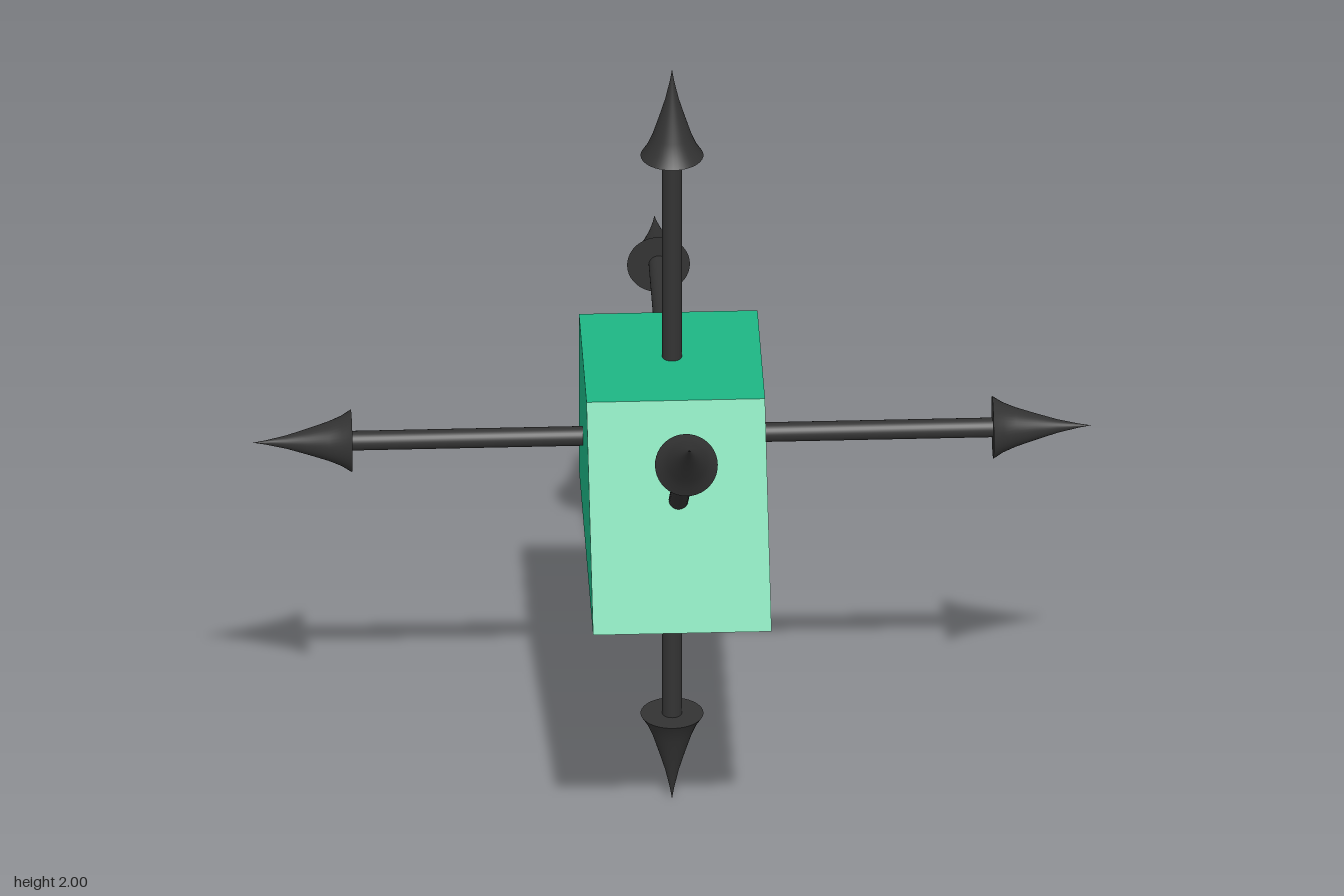
import * as THREE from 'three';

const green = new THREE.MeshStandardMaterial({ color: 0x1db584 });
const dark = new THREE.MeshStandardMaterial({ color: 0x333333 });
const UP = new THREE.Vector3(0, 1, 0);

// Arrow from start to tip: round shaft and a flared, sharply pointed head
function makeArrow(name, start, tip) {
  const from = new THREE.Vector3(...start);
  const dir = new THREE.Vector3(...tip).sub(from);
  const length = dir.length();
  const base = length - 0.235;

  const arrow = new THREE.Group();
  arrow.name = name;

  const shaft = new THREE.Mesh(new THREE.CylinderGeometry(0.0235, 0.0235, base + 0.01, 32), dark);
  shaft.name = 'shaft';
  shaft.position.y = (base + 0.01) / 2;

  const flare = [[0.075, 0], [0.06, 0.024], [0.047, 0.055], [0.031, 0.105], [0.016, 0.155], [0.005, 0.205], [0, 0.235]];
  const head = new THREE.Mesh(new THREE.LatheGeometry(flare.map(([r, y]) => new THREE.Vector2(r, y)), 40), dark);
  head.name = 'head';
  head.position.y = base;

  // Flat underside of the head
  const cap = new THREE.Mesh(new THREE.CircleGeometry(0.075, 40), dark);
  cap.name = 'headBase';
  cap.rotation.x = Math.PI / 2;
  cap.position.y = base;

  arrow.add(shaft, head, cap);
  arrow.position.copy(from);
  arrow.quaternion.setFromUnitVectors(UP, dir.normalize());
  return arrow;
}

export function createModel() {
  const model = new THREE.Group();
  model.name = 'slopedBlockWithArrows';

  // Block with a sloped front, drawn in the z-y plane and extruded across x
  const h = 0.213;
  const side = new THREE.Shape([[-h, 1 - h], [0.587, 1 - h], [h, 1 + h], [-h, 1 + h]]
    .map(([z, y]) => new THREE.Vector2(z, y)));
  const geometry = new THREE.ExtrudeGeometry(side, { depth: 2 * h, bevelEnabled: false });
  geometry.translate(0, 0, -h).rotateY(-Math.PI / 2);
  const block = new THREE.Mesh(geometry, green);
  block.name = 'block';
  model.add(block);

  // One arrow out of each face
  const arrows = [
    ['leftArrow', [0.15, 1, 0], [1, 1, 0]],
    ['rightArrow', [-0.15, 1, 0], [-1, 1, 0]],
    ['topArrow', [0, 1.15, 0], [0, 2, 0]],
    ['bottomArrow', [0, 0.85, 0], [0, 0, 0]],
    ['backArrow', [0, 1.03, -0.15], [0, 1.03, -1]],
    ['frontArrow', [0, 1.01, 0.345], [0, 1.523, 1]],
  ];
  for (const [name, start, tip] of arrows) model.add(makeArrow(name, start, tip));

  return model;
}
